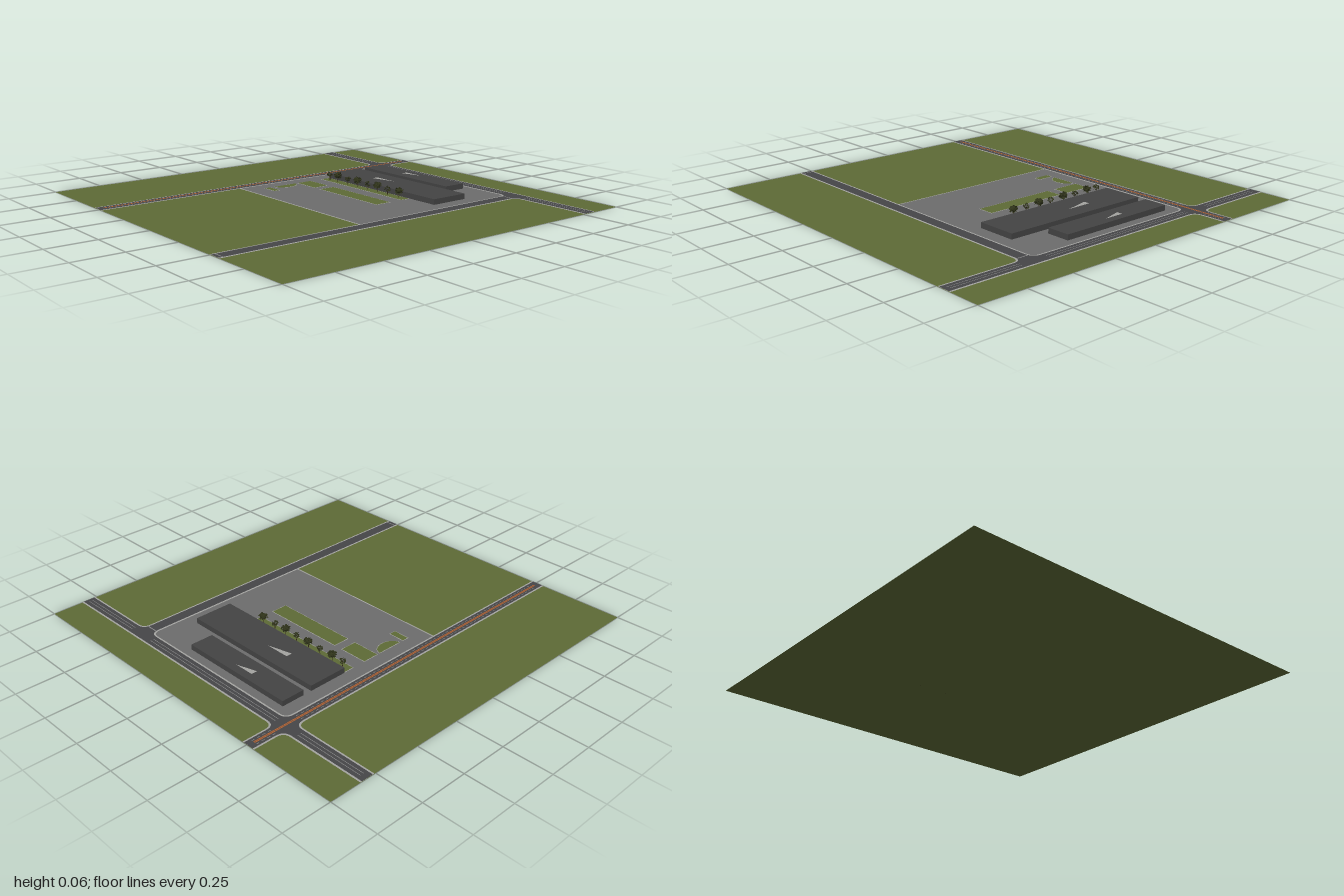
import * as THREE from 'three';
import { mergeGeometries } from 'three/addons/utils/BufferGeometryUtils.js';

const mat = (name, color, extra = {}) => {
  const m = new THREE.MeshStandardMaterial({ color, ...extra });
  m.name = name;
  return m;
};

export function createModel() {
  const group = new THREE.Group();
  const grass = mat('grass', 0x5d6a36, { side: THREE.DoubleSide });
  const paving = mat('paving', 0x6c6c6c);
  const asphalt = mat('asphalt', 0x464648);
  const kerb = mat('kerb', 0xa3a3a0);
  const marking = mat('marking', 0x858585);
  const orange = mat('orange line', 0xb4602c);
  const roofGrey = mat('building grey', 0x444444);
  const leaf = mat('leaf', 0x2e3219, { side: THREE.DoubleSide, flatShading: true });
  const bark = mat('bark', 0x3a2c1c);

  const add = (name, geometry, material, y = 0) => {
    const mesh = new THREE.Mesh(geometry, material);
    mesh.name = name;
    mesh.position.y = y;
    group.add(mesh);
    return mesh;
  };

  // Flat geometry from [x, z, cornerRadius] points
  const flat = (points) => {
    const shape = new THREE.Shape();
    const n = points.length;
    const toward = (a, b, d) => {
      const len = Math.hypot(b[0] - a[0], b[1] - a[1]);
      return [a[0] + (b[0] - a[0]) * d / len, a[1] + (b[1] - a[1]) * d / len];
    };
    points.forEach((p, i) => {
      const r = p[2] || 0;
      const a = r ? toward(p, points[(i + n - 1) % n], r) : p;
      if (i) shape.lineTo(a[0], -a[1]);
      else shape.moveTo(a[0], -a[1]);
      if (r) {
        const b = toward(p, points[(i + 1) % n], r);
        shape.quadraticCurveTo(p[0], -p[1], b[0], -b[1]);
      }
    });
    return new THREE.ShapeGeometry(shape, 8).rotateX(-Math.PI / 2);
  };
  const rect = (x0, x1, z0, z1) => flat([[x0, z0], [x1, z0], [x1, z1], [x0, z1]]);

  // Ground and paved yard
  add('ground', rect(-1, 1, -1, 1), grass);
  add('yardEdge', rect(-0.48, 0.505, -0.77, 0.207), kerb, 0.0006);
  add('yard', rect(-0.48, 0.505, -0.77, 0.2), paving, 0.0012);

  // Road network with rounded junction corners, d insets the outline
  const roads = (d) => {
    const L0 = -0.548 + d, L1 = -0.473 - d, R0 = 0.496 + d, R1 = 0.573 - d;
    const H0 = -0.837 + d, H1 = -0.757 - d, r = 0.04 + d;
    return flat([
      [L0, -1], [L0, H0, r], [-1, H0], [-1, H1], [L0, H1, r], [L0, 1], [L1, 1],
      [L1, H1, r], [R0, H1, r], [R0, 1], [R1, 1], [R1, H1, r], [1, H1], [1, H0],
      [L1, H0, r], [L1, -1],
    ]);
  };
  add('roadKerb', roads(0), kerb, 0.0018);
  add('roadSurface', roads(0.009), asphalt, 0.0024);

  // Road markings
  const marks = [];
  for (const [x0, x1] of [[-0.97, -0.6], [-0.46, 0.45], [0.6, 0.98]]) {
    for (const z of [-0.806, -0.788]) marks.push(rect(x0, x1, z - 0.0015, z + 0.0015));
  }
  const dashes = (z0, z1, xs) => {
    for (let z = z0; z < z1; z += 0.03) {
      for (const x of xs) marks.push(rect(x - 0.0015, x + 0.0015, z, z + 0.016));
    }
  };
  dashes(-0.97, -0.86, [-0.527, -0.496]);
  dashes(-0.72, 0.96, [-0.527, -0.496]);
  marks.push(rect(0.505, 0.564, -0.738, -0.732), rect(0.505, 0.564, 0.977, 0.983));
  add('roadMarkings', mergeGeometries(marks), marking, 0.003);
  add('orangeLine', mergeGeometries([-0.515, -0.508].map((x) =>
    rect(x - 0.0025, x + 0.0025, -0.97, 0.97))), orange, 0.0034);

  // Grass beds with pale borders
  const bed = (x0, x1, z0, z1) => {
    add('bedBorder', rect(x0, x1, z0, z1), kerb, 0.0018);
    add('bedGrass', rect(x0 + 0.003, x1 - 0.003, z0 + 0.003, z1 - 0.003), grass, 0.0024);
  };
  bed(-0.402, 0.25, -0.33, -0.272);
  bed(-0.402, -0.248, -0.202, -0.11);
  bed(-0.204, 0.25, -0.202, -0.11);
  bed(-0.402, -0.312, 0.064, 0.104);
  const halfOval = (x, rx, rz) => {
    const shape = new THREE.Shape();
    shape.absellipse(x, 0.026, rx, rz, -Math.PI / 2, Math.PI / 2);
    return new THREE.ShapeGeometry(shape, 24).rotateX(-Math.PI / 2);
  };
  add('roundBedBorder', halfOval(-0.402, 0.057, 0.071), kerb, 0.0018);
  add('roundBedGrass', halfOval(-0.399, 0.051, 0.068), grass, 0.0024);

  // Two long low buildings, each with a pale roof wedge
  const building = (x0, x1, z0, z1, wedge) => {
    const h = 0.028;
    const body = add('building', new THREE.BoxGeometry(x1 - x0, h, z1 - z0), roofGrey, 0.0015 + h / 2);
    body.position.x = (x0 + x1) / 2;
    body.position.z = (z0 + z1) / 2;
    add('roofWedge', flat(wedge), kerb, 0.0302);
  };
  building(-0.402, 0.247, -0.712, -0.588, [[-0.146, -0.671], [-0.035, -0.671], [-0.146, -0.639]]);
  building(-0.402, 0.424, -0.542, -0.332, [[-0.146, -0.458], [-0.01, -0.458], [-0.146, -0.425]]);

  // Row of trees: alternating sparse small and dense large crowns
  let seed = 7;
  const rand = () => (seed = (seed * 16807) % 2147483647) / 2147483647;
  const crown = (r, count, dense) => {
    const parts = [];
    if (dense) parts.push(new THREE.IcosahedronGeometry(r * 0.72, 1).scale(1, 0.8, 1));
    for (let i = 0; i < count; i++) {
      const a = rand() * Math.PI * 2, v = rand() * 2 - 1, s = Math.sqrt(1 - v * v);
      const d = r * (0.55 + 0.35 * rand());
      const g = new THREE.CircleGeometry(r * 0.24, 4).toNonIndexed();
      g.rotateX(rand() * 6).rotateY(rand() * 6);
      parts.push(g.translate(Math.cos(a) * s * d, v * d * 0.85, Math.sin(a) * s * d));
    }
    return mergeGeometries(parts);
  };
  [-0.358, -0.289, -0.205, -0.126, -0.041, 0.036, 0.115, 0.2].forEach((x, i) => {
    const large = i % 2 === 1;
    const r = large ? 0.0235 : 0.018;
    const y = large ? 0.038 : 0.033;
    const tree = new THREE.Group();
    tree.name = 'tree';
    tree.position.set(x, 0, -0.301);
    const top = new THREE.Mesh(crown(r, large ? 70 : 50, large), leaf);
    top.name = 'treeCrown';
    top.position.y = y;
    const trunk = new THREE.Mesh(new THREE.CylinderGeometry(0.0012, 0.002, y, 6), bark);
    trunk.name = 'treeTrunk';
    trunk.position.y = y / 2;
    tree.add(top, trunk);
    group.add(tree);
  });

  return group;
}
